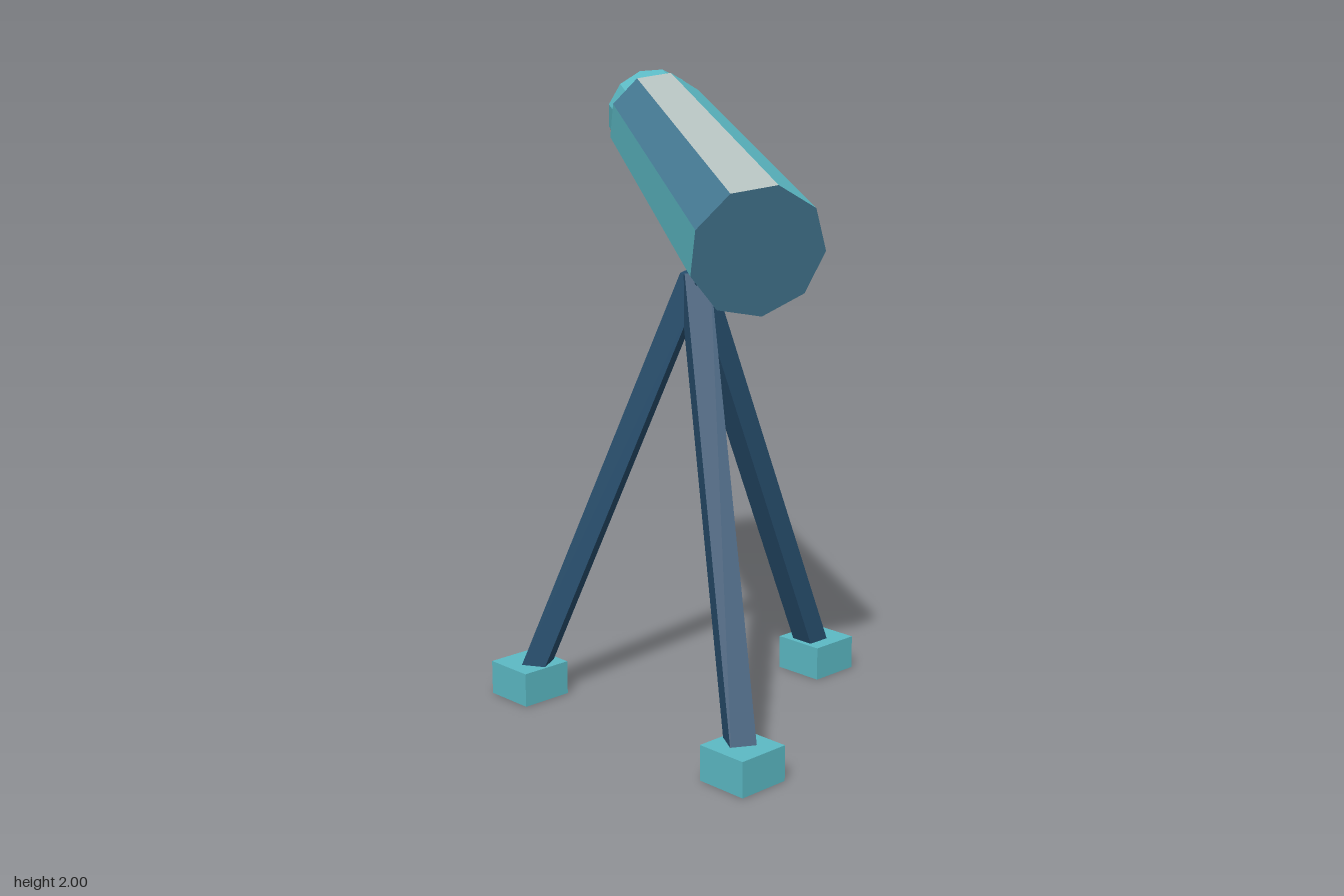
import * as THREE from 'three';

const flat = (name, color) => {
  const m = new THREE.MeshStandardMaterial({ color, flatShading: true });
  m.name = name;
  return m;
};

export function createModel() {
  const teal = flat('teal', 0x5cbac5);
  const blue = flat('blue', 0x467a94);
  const grey = flat('grey', 0xb3bfbd);
  const navy = flat('navy', 0x285070);

  const model = new THREE.Group();
  model.name = 'telescope';
  const add = (parent, name, geometry, material) => {
    const mesh = new THREE.Mesh(geometry, material);
    mesh.name = name;
    parent.add(mesh);
    return mesh;
  };

  // Tripod: three legs 120 degrees apart, on axis-aligned block feet
  const apex = new THREE.Vector3(-0.142, 1.4, 0.041);
  const up = new THREE.Vector3(0, 1, 0);
  const tripod = new THREE.Group();
  tripod.name = 'tripod';
  model.add(tripod);
  for (let i = 0; i < 3; i++) {
    const angle = (i * Math.PI * 2) / 3;
    const footAt = new THREE.Vector3(
      apex.x + 0.566 * Math.cos(angle), 0.055, apex.z - 0.566 * Math.sin(angle));
    add(tripod, 'foot', new THREE.BoxGeometry(0.174, 0.11, 0.174), teal).position.copy(footAt);

    const spread = 0.56;
    const rise = apex.y - 0.055;
    const leg = add(tripod, 'leg',
      new THREE.BoxGeometry(0.074, Math.hypot(spread, rise), 0.08), navy);
    leg.rotation.z = Math.atan2(spread, rise);
    leg.position.set(spread / 2, (apex.y + 0.055) / 2, 0);
    const pivot = new THREE.Group();
    pivot.name = 'legPivot';
    pivot.position.set(apex.x, 0, apex.z);
    pivot.setRotationFromAxisAngle(up, angle);
    pivot.add(leg);
    tripod.add(pivot);
  }

  // Barrel frame: local y runs from the front end to the back end
  const front = new THREE.Vector3(-0.286, 1.522, 0.45);
  const back = new THREE.Vector3(0.189, 1.837, -0.481);
  const length = front.distanceTo(back);
  const axis = back.clone().sub(front).normalize();
  const corner = new THREE.Vector3(0.009, 0.194, 0.07);
  corner.addScaledVector(axis, -corner.dot(axis)).normalize();
  const side = axis.clone().cross(corner);
  const barrel = new THREE.Group();
  barrel.name = 'barrel';
  barrel.position.copy(front);
  barrel.quaternion.setFromRotationMatrix(new THREE.Matrix4().makeBasis(side, axis, corner));
  model.add(barrel);

  // Nine tapered panels in three repeating colours
  const rFront = 0.205, rBack = 0.168, step = (Math.PI * 2) / 9;
  for (let i = 0; i < 9; i++) {
    add(barrel, 'barrelPanel',
      new THREE.CylinderGeometry(rBack, rFront, length, 1, 1, true, i * step, step),
      [teal, blue, grey][i % 3]).position.y = length / 2;
  }
  add(barrel, 'frontLens',
    new THREE.CircleGeometry(rFront, 9, Math.PI / 2).rotateX(Math.PI / 2), blue);
  add(barrel, 'backRim',
    new THREE.CircleGeometry(rBack, 9, -Math.PI / 2).rotateX(-Math.PI / 2), grey).position.y = length;

  // Eyepiece projecting from the back end
  add(barrel, 'eyepiece', new THREE.CylinderGeometry(0.151, 0.151, 0.14, 12), teal)
    .position.y = length + 0.016;

  return model;
}
